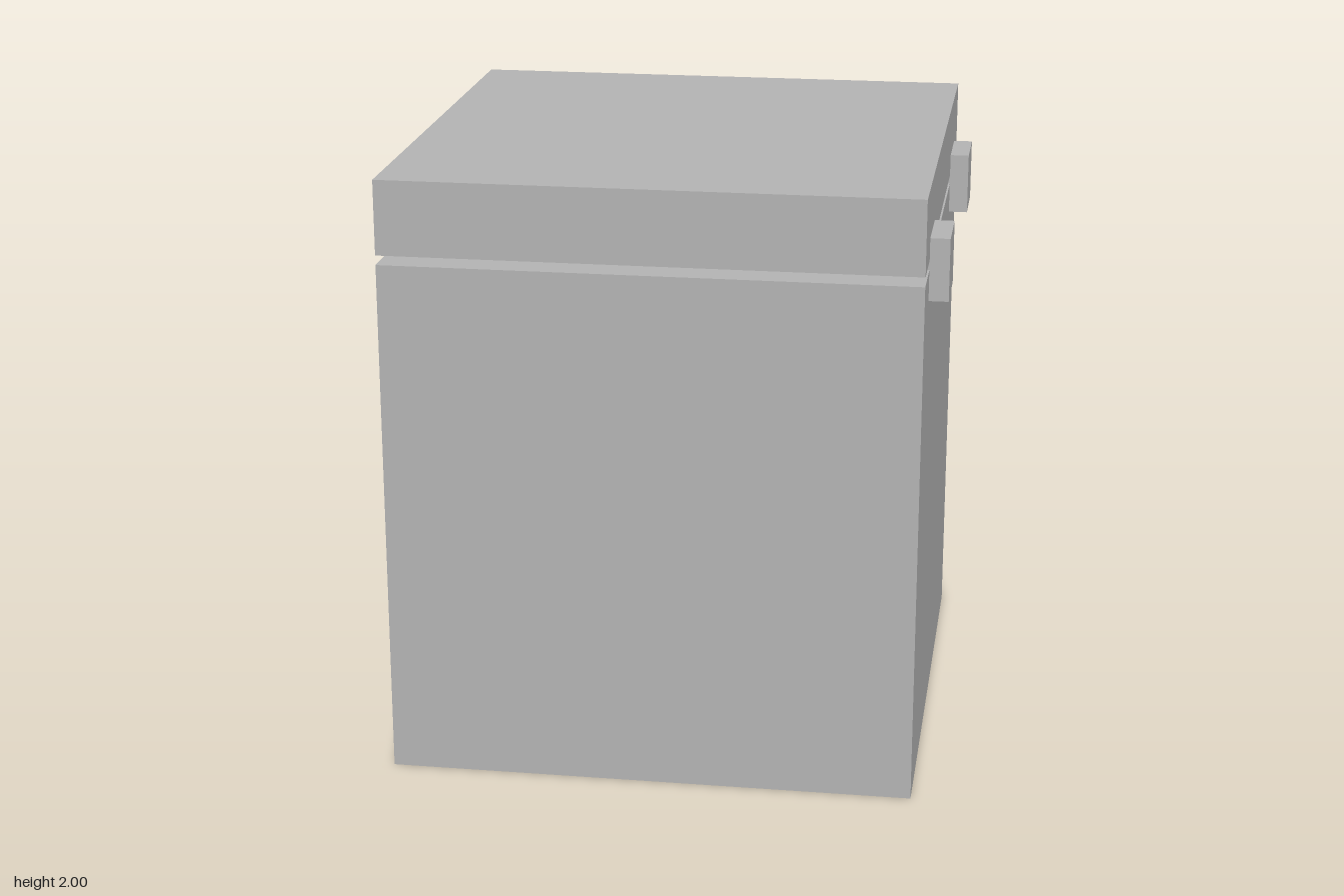
import * as THREE from 'three';

export function createModel() {
  const group = new THREE.Group();
  const grey = new THREE.MeshStandardMaterial({ color: 0xb2b2b2 });
  grey.name = 'grey';

  // Adds a box given its lower and upper corners
  function addBox(name, [x0, y0, z0], [x1, y1, z1]) {
    const mesh = new THREE.Mesh(new THREE.BoxGeometry(x1 - x0, y1 - y0, z1 - z0), grey);
    mesh.position.set((x0 + x1) / 2, (y0 + y1) / 2, (z0 + z1) / 2);
    mesh.name = name;
    group.add(mesh);
  }

  // Container and its lid, separated by a narrow gap
  addBox('body', [-0.868, 0, -0.86], [0.852, 1.726, 0.86]);
  addBox('lid', [-0.868, 1.757, -0.86], [0.852, 2, 0.86]);

  // Two hinges bridging the gap on the left side
  for (const z of [0.55, -0.577]) {
    addBox('hinge', [0.838, 1.625, z - 0.112], [0.915, 1.828, z + 0.112]);
  }

  // Single latch on the opposite side
  addBox('latch', [-0.92, 1.584, -0.108], [-0.84, 1.895, 0.09]);

  return group;
}
